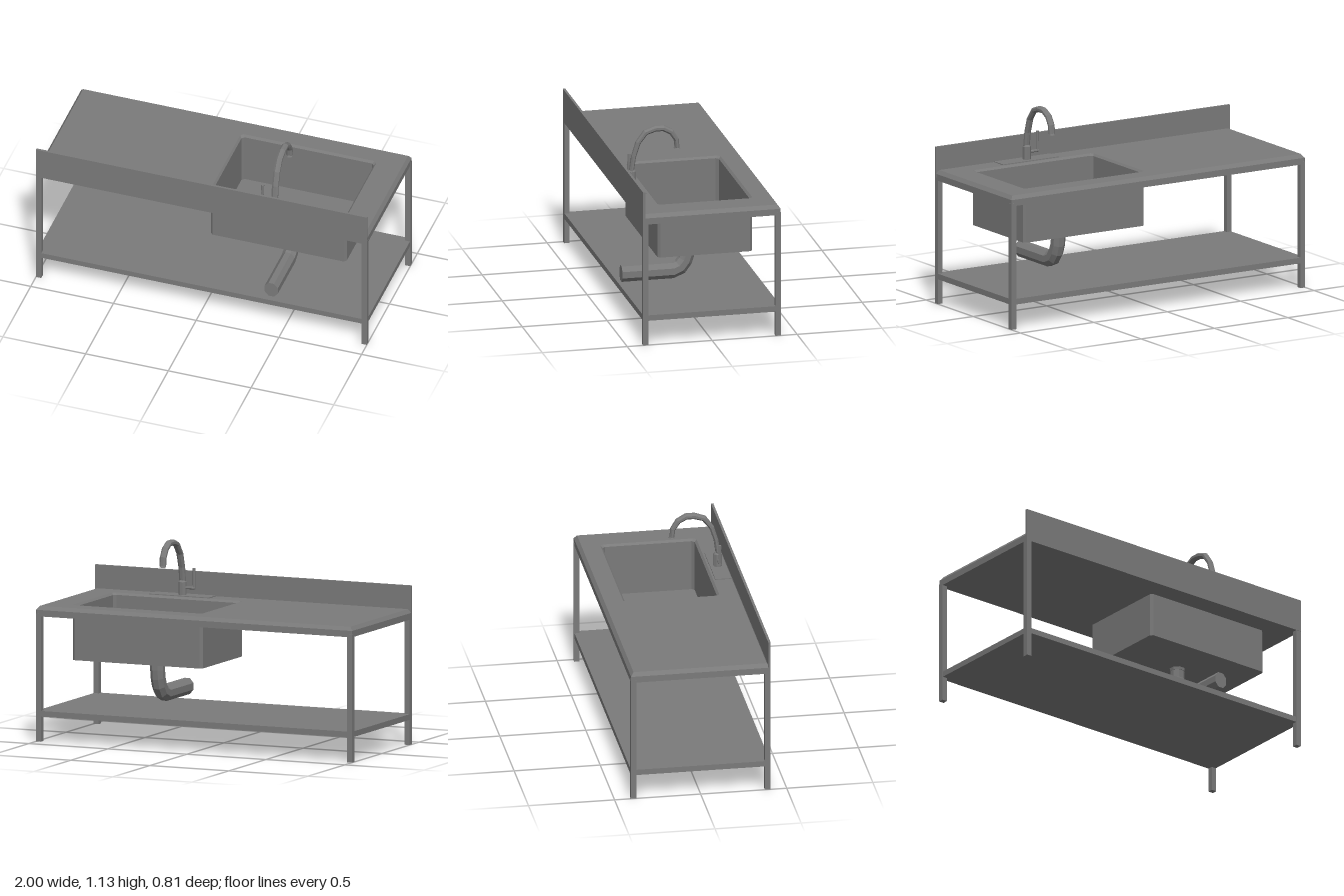
import * as THREE from 'three';

const steel = new THREE.MeshStandardMaterial({ color: 0x7a7a7a, flatShading: true });
steel.name = 'steel';

// Skin a list of equal-sized rings of Vector3 (a ring may collapse to a point as a cap)
function loft(rings) {
  const pos = [];
  const tri = (a, b, c) => {
    if (b.clone().sub(a).cross(c.clone().sub(a)).length() > 1e-9)
      for (const p of [a, b, c]) pos.push(p.x, p.y, p.z);
  };
  for (let k = 0; k < rings.length - 1; k++) {
    const a = rings[k], b = rings[k + 1], n = a.length;
    for (let i = 0; i < n; i++) {
      const j = (i + 1) % n;
      tri(a[i], a[j], b[i]);
      tri(a[j], b[j], b[i]);
    }
  }
  const g = new THREE.BufferGeometry();
  g.setAttribute('position', new THREE.Float32BufferAttribute(pos, 3));
  g.computeVertexNormals();
  return g;
}

// Horizontal rectangle with clipped corners, centred on (cx, 0)
function clippedRect(cx, y, hx, hz, c) {
  return [[hx, -hz + c], [hx, hz - c], [hx - c, hz], [-hx + c, hz],
    [-hx, hz - c], [-hx, -hz + c], [-hx + c, -hz], [hx - c, -hz]]
    .map(([x, z]) => new THREE.Vector3(cx + x, y, z));
}

// Faceted tube in the plane x = cx, through points [z, y, in-plane radius]
function sweep(cx, rx, pts, sides = 8) {
  const at = ([z, y]) => new THREE.Vector3(cx, y, z);
  const xAxis = new THREE.Vector3(1, 0, 0);
  const k = 1 / Math.cos(Math.PI / sides);
  const rings = pts.map((p, i) => {
    const prev = at(pts[Math.max(i - 1, 0)]), next = at(pts[Math.min(i + 1, pts.length - 1)]);
    const v = next.sub(prev).normalize().cross(xAxis);
    return Array.from({ length: sides }, (_, s) => {
      const a = (s + 0.5) / sides * Math.PI * 2;
      return at(p).addScaledVector(xAxis, rx * k * Math.cos(a)).addScaledVector(v, p[2] * k * Math.sin(a));
    });
  });
  const cap = p => Array(sides).fill(at(p));
  return loft([cap(pts[0]), ...rings, cap(pts[pts.length - 1])]);
}

export function createModel() {
  const model = new THREE.Group();
  model.name = 'sinkTable';
  const add = (parent, name, geo, x = 0, y = 0, z = 0) => {
    const m = new THREE.Mesh(geo, steel);
    m.name = name;
    m.position.set(x, y, z);
    parent.add(m);
    return m;
  };
  const box = (w, h, d) => new THREE.BoxGeometry(w, h, d);
  const drum = (rTop, rBottom, h) => new THREE.CylinderGeometry(rTop, rBottom, h, 8).rotateY(Math.PI / 8);
  const SX = 0.42;

  // Worktop with bevelled edge and sunken basin, one continuous skin
  const centre = y => Array(8).fill(new THREE.Vector3(SX, y, 0));
  add(model, 'worktopAndBasin', loft([
    centre(0.472),
    clippedRect(SX, 0.472, 0.4, 0.267, 0.015),
    clippedRect(SX, 0.772, 0.4, 0.267, 0.015),
    clippedRect(SX, 0.784, 0.411, 0.279, 0.015),
    clippedRect(0, 0.784, 0.982, 0.387, 0.001),
    clippedRect(0, 0.762, 0.999, 0.404, 0.001),
    clippedRect(0, 0.725, 0.999, 0.404, 0.001),
    clippedRect(SX, 0.725, 0.411, 0.279, 0.015),
    clippedRect(SX, 0.465, 0.411, 0.279, 0.015),
    centre(0.465),
  ]));

  // Upright splash panel along the +z edge
  add(model, 'splashPanel', box(2, 0.195, 0.014), 0, 0.8225, 0.4);

  // Four square legs and the low shelf
  for (const sx of [-1, 1]) for (const sz of [-1, 1])
    add(model, 'leg', box(0.032, 0.74, 0.032), sx * 0.984, 0.37, sz * 0.39);
  add(model, 'shelf', box(1.996, 0.033, 0.808), 0, 0.1615, 0);

  // Drain and waste pipe
  const drain = new THREE.Group();
  drain.name = 'drain';
  model.add(drain);
  add(drain, 'drainFlange', drum(0.052, 0.052, 0.006), SX, 0.474, 0);
  add(drain, 'drainPlug', drum(0.02, 0.02, 0.005), SX, 0.478, 0);
  add(drain, 'drainCollar', drum(0.046, 0.044, 0.016), SX, 0.457, 0);
  add(drain, 'wastePipe', sweep(SX, 0.04, [
    [0, 0.46, 0.037], [0, 0.4, 0.037], [0.007, 0.352, 0.038], [0.024, 0.306, 0.041],
    [0.053, 0.269, 0.044], [0.095, 0.252, 0.046], [0.4, 0.252, 0.046],
  ]));

  // Tap: plate, body, gooseneck spout, nozzle and side lever
  const tap = new THREE.Group();
  tap.name = 'tap';
  model.add(tap);
  add(tap, 'tapPlate', box(0.38, 0.005, 0.094), SX, 0.786, 0.338);
  add(tap, 'tapBody', drum(0.024, 0.024, 0.076), SX, 0.825, 0.336);
  add(tap, 'tapShoulder', drum(0.016, 0.024, 0.01), SX, 0.868, 0.336);
  add(tap, 'spout', sweep(SX, 0.019, [
    [0.338, 0.865, 0.013], [0.326, 0.95, 0.013], [0.3, 1.032, 0.014], [0.256, 1.09, 0.016],
    [0.2, 1.109, 0.017], [0.152, 1.109, 0.017], [0.105, 1.083, 0.016],
    [0.075, 1.036, 0.014], [0.07, 0.988, 0.013],
  ]));
  add(tap, 'nozzle', drum(0.015, 0.02, 0.01), SX, 0.986, 0.07);
  add(tap, 'leverStem', drum(0.008, 0.008, 0.06).rotateZ(Math.PI / 2), 0.37, 0.83, 0.336);
  add(tap, 'lever', drum(0.009, 0.007, 0.12), 0.347, 0.885, 0.336);

  return model;
}
